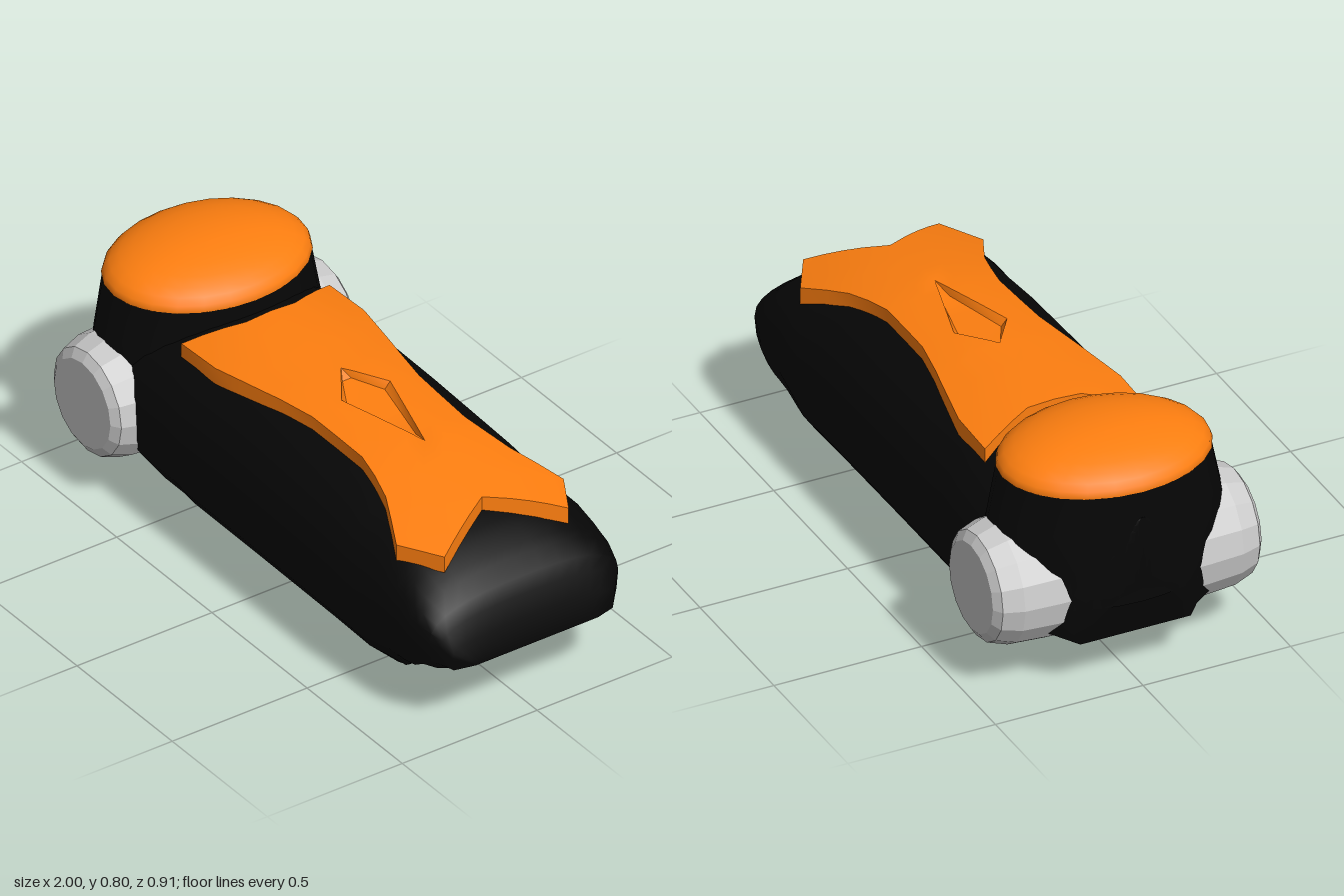
import * as THREE from 'three';
import { toCreasedNormals } from 'three/addons/utils/BufferGeometryUtils.js';

const black = new THREE.MeshStandardMaterial({ color: 0x060606 });
const orange = new THREE.MeshStandardMaterial({ color: 0xff7f10 });
const grey = new THREE.MeshStandardMaterial({ color: 0xcccccc });
const greyFlat = new THREE.MeshStandardMaterial({ color: 0xcccccc, flatShading: true });

// Linear interpolation through [x, value] pairs.
function sample(pairs, x) {
  for (let i = 1; i < pairs.length; i++) {
    const [x0, v0] = pairs[i - 1], [x1, v1] = pairs[i];
    if (x <= x1) return v0 + (v1 - v0) * Math.max(0, (x - x0) / (x1 - x0));
  }
  return pairs[pairs.length - 1][1];
}

// Skin between rings advancing along +x. Each ring has a top row (z rising)
// and a bottom row with the same z order.
function loft(rings, crease) {
  const n = rings[0].top.length, m = n * 2, pos = [], idx = [];
  for (const r of rings) for (const p of [...r.top, ...[...r.bottom].reverse()]) pos.push(...p);
  for (let i = 0; i < rings.length - 1; i++) {
    for (let j = 0; j < m; j++) {
      const k = (j + 1) % m, a = i * m, b = a + m;
      idx.push(a + j, a + k, b + k, a + j, b + k, b + j);
    }
  }
  const e = (rings.length - 1) * m;
  for (let j = 0; j < n - 1; j++) {
    const t0 = j, t1 = j + 1, b0 = m - 1 - j, b1 = m - 2 - j;
    idx.push(t0, b0, b1, t0, b1, t1);
    idx.push(e + t0, e + t1, e + b1, e + t0, e + b1, e + b0);
  }
  const g = new THREE.BufferGeometry();
  g.setAttribute('position', new THREE.Float32BufferAttribute(pos, 3));
  g.setIndex(idx);
  return toCreasedNormals(g, crease);
}

// Centre height of the top plate.
const deck = [[-0.48, 0.68], [-0.38, 0.69], [0, 0.682], [0.4, 0.662], [0.6, 0.637],
  [0.71, 0.62], [0.84, 0.595]];
const deckY = (x, z) => sample(deck, x) - 0.65 * z * z;

// Side and plan outlines of the hull.
const hullTop = [[-1, 0.6], [-0.5, 0.64], [-0.38, 0.645], [0, 0.637], [0.4, 0.617], [0.6, 0.592],
  [0.71, 0.572], [0.8, 0.54], [0.88, 0.495], [0.93, 0.455], [0.97, 0.38], [1, 0.265]];
const hullBottom = [[-1, 0.35], [-0.95, 0.17], [-0.9, 0.21], [-0.8, 0.24], [-0.65, 0.24],
  [-0.57, 0.2], [-0.34, 0], [0.58, 0], [0.8, 0.19], [0.88, 0.235], [1, 0.252]];
const hullWidth = [[-0.735, 0.385], [-0.55, 0.39], [0.6, 0.39], [0.85, 0.375], [0.93, 0.35],
  [0.98, 0.3], [1, 0.23]];

function hullRing(x) {
  const rear = Math.sqrt(Math.max(0.006, 1 - ((x + 0.735) / 0.265) ** 2));
  const w = x < -0.735 ? 0.385 * rear : sample(hullWidth, x);
  const t = sample(hullTop, x), b = sample(hullBottom, x), mid = Math.min(0.34, (t + b) / 2);
  const top = [], bottom = [];
  for (let i = 0; i <= 16; i++) {
    const s = Math.sin((i / 16 - 0.5) * Math.PI), a = Math.abs(s);
    const up = Math.pow(Math.max(0, 1 - Math.pow(a, 2.5)), 0.4);
    const down = Math.sqrt(Math.max(0, 1 - a * a));
    top.push([x, mid + (t - mid) * up, w * s]);
    bottom.push([x, Math.max(b, mid - mid * down), w * s]);
  }
  return { top, bottom };
}

// Plate stations: centre x, edge x, half width, half width of the diamond recess.
const plateStations = [
  [-0.40, -0.48, 0.275, 0], [-0.30, -0.30, 0.275, 0], [-0.15, -0.2, 0.255, 0],
  [-0.03, -0.1, 0.235, 0], [0, -0.04, 0.222, 0.021], [0.1, 0.1, 0.197, 0.09],
  [0.22, 0.22, 0.193, 0.055], [0.34, 0.35, 0.19, 0.02], [0.41, 0.44, 0.207, 0],
  [0.5, 0.53, 0.23, 0], [0.56, 0.61, 0.267, 0], [0.62, 0.70, 0.31, 0], [0.71, 0.84, 0.23, 0]];

function plateRing([xc, xe, hw, zi]) {
  const half = [];
  const add = (z, x, sink) => half.push([x, deckY(x, z) - sink, z]);
  const sink = Math.min(0.025, zi * 1.5);
  add(0, xc, sink);
  add(zi * 0.78, xc, sink);
  for (const v of [0, 0.33, 0.55, 0.78, 1]) {
    const k = xe < xc ? Math.max(0, (v - 0.33) / 0.67) : v;
    add(zi + (hw - zi) * v, xc + (xe - xc) * k, 0);
  }
  const mirrored = half.slice(1).reverse().map(([x, y, z]) => [x, y, -z]);
  const top = [...mirrored, ...half];
  const bottom = top.map(([x, , z]) => [x, deckY(x, z) - 0.057, z]);
  return { top, bottom };
}

export function createModel() {
  const group = new THREE.Group();
  const add = (name, geometry, material) => {
    const mesh = new THREE.Mesh(geometry, material);
    mesh.name = name;
    group.add(mesh);
    return mesh;
  };

  // Long rounded hull with sloped cuts underneath
  const xs = [-1, -0.99, -0.97, -0.95, -0.9, -0.85, -0.8, -0.735, -0.65, -0.57, -0.5, -0.45, -0.4,
    -0.34, -0.15, 0, 0.2, 0.4, 0.5, 0.58, 0.62, 0.66, 0.71, 0.76, 0.8, 0.85, 0.88, 0.93, 0.955,
    0.98, 1];
  add('hull', loft(xs.map(hullRing), 0.6), black);

  // Oval tower at the rear, widening downwards
  const tower = new THREE.CylinderGeometry(1, 1, 0.39, 32, 6);
  tower.scale(0.264, 1, 0.34).translate(0, 0.495, 0);
  const p = tower.attributes.position;
  for (let i = 0; i < p.count; i++) {
    p.setZ(i, p.getZ(i) * (1 + 0.63 * Math.min(0.21, 0.69 - p.getY(i))));
  }
  tower.translate(-0.735, 0, 0);
  add('rearTower', toCreasedNormals(tower, 0.6), black);

  // Low dome over the tower
  const dome = new THREE.SphereGeometry(1, 24, 8, 0, Math.PI * 2, 0, Math.PI / 2);
  dome.scale(0.267, 0.108, 0.345).translate(-0.735, 0.691, 0);
  add('dome', dome, orange);
  const domeBase = new THREE.CircleGeometry(1, 24).rotateX(Math.PI / 2);
  domeBase.scale(0.267, 1, 0.345).translate(-0.735, 0.691, 0);
  add('domeBase', domeBase, orange);

  // Curved top plate with a diamond recess
  add('topPlate', loft(plateStations.map(plateRing), 0.5), orange);

  // Full-width roller with rounded ends
  const end = [[0, 0.455], [0.148, 0.455], [0.178, 0.435], [0.2, 0.37], [0.208, 0.25]];
  const profile = [...end.map(([r, y]) => [r, -y]), ...[...end].reverse()];
  const roller = new THREE.LatheGeometry(profile.map(([r, y]) => new THREE.Vector2(r, y)), 16);
  roller.rotateX(Math.PI / 2).translate(-0.745, 0.335, 0);
  add('rearRoller', roller, greyFlat);

  // Half disc set on the sloped underside of the nose
  const disc = new THREE.CircleGeometry(1, 8, Math.PI, Math.PI).scale(0.195, 0.153, 1);
  disc.applyMatrix4(new THREE.Matrix4().makeBasis(
    new THREE.Vector3(0, 0, -1),
    new THREE.Vector3(0.757, 0.654, 0),
    new THREE.Vector3(0.654, -0.757, 0)));
  disc.translate(0.792, 0.178, 0);
  add('noseHalfDisc', disc, grey);

  return group;
}
